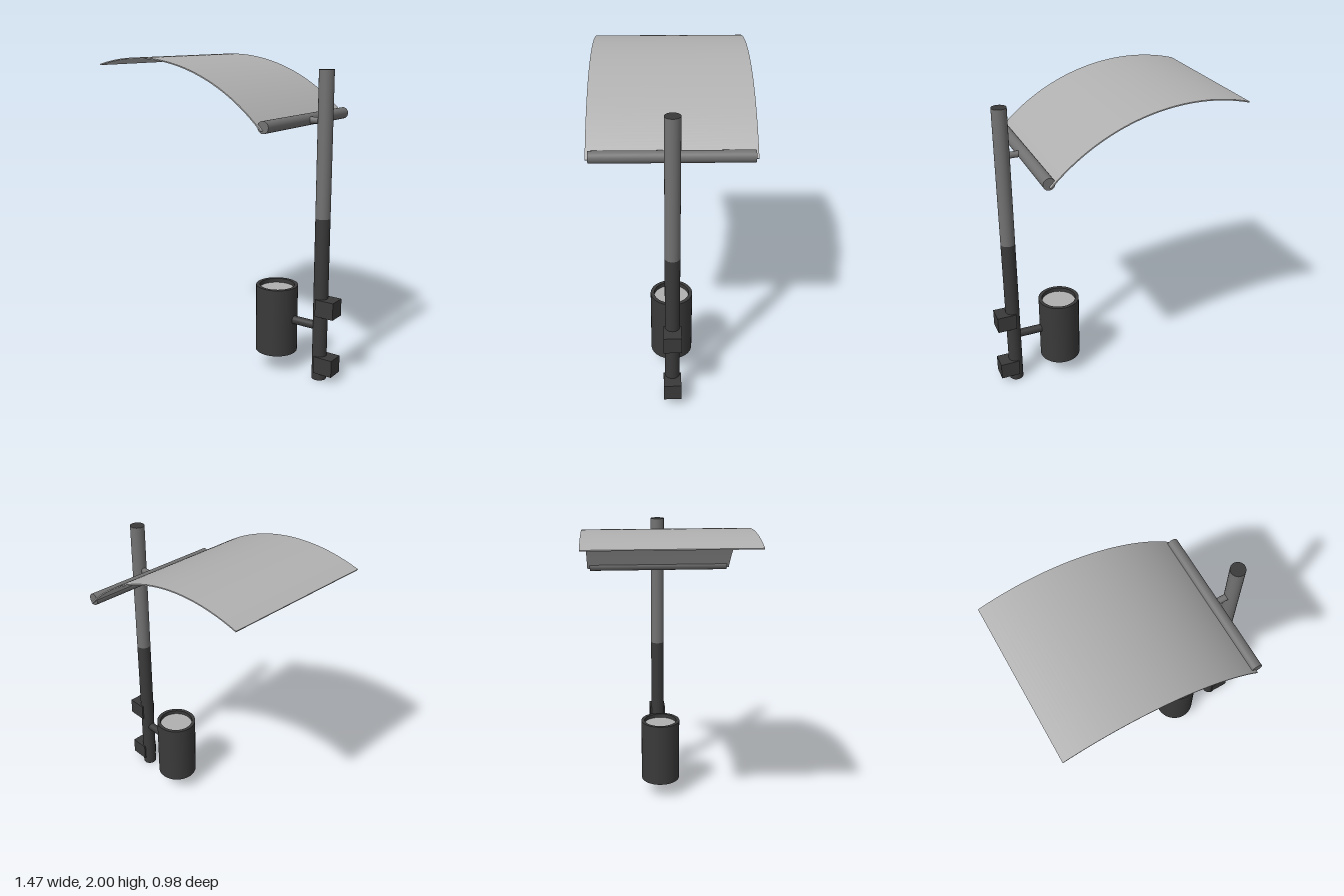
import * as THREE from 'three';

const mat = (name, color, side = THREE.FrontSide) => {
  const m = new THREE.MeshStandardMaterial({ color, side });
  m.name = name;
  return m;
};

export function createModel() {
  const group = new THREE.Group();
  const dark = mat('charcoal', 0x3a3a3a);
  const grey = mat('mid grey', 0x727272);
  const light = mat('light grey', 0xb0b0b0);

  const add = (name, geometry, material, x, y, z = 0) => {
    const mesh = new THREE.Mesh(geometry, material);
    mesh.name = name;
    mesh.position.set(x, y, z);
    group.add(mesh);
    return mesh;
  };
  const rod = (r, length) => new THREE.CylinderGeometry(r, r, length, 24);

  // Pole: dark lower half, grey upper half with a dark top cap
  const poleX = 0.615, poleR = 0.046, split = 1.05, top = 1.94;
  add('lowerPole', rod(poleR, split), dark, poleX, split / 2);
  add('upperPole', rod(poleR, top - split), [grey, dark, grey], poleX, (top + split) / 2);

  // Wall brackets
  for (const y of [0.105, 0.485]) {
    add('wallBracket', new THREE.BoxGeometry(0.125, 0.11, 0.11), dark, 0.6675, y);
  }

  // Lamp can with a recessed lens, turned from one profile
  const can = [[0, 0], [0.135, 0], [0.135, 0], [0.135, 0.445], [0.135, 0.445],
    [0.112, 0.445], [0.112, 0.445], [0.112, 0.41], [0.112, 0.41], [0, 0.41]]
    .map(([r, y]) => new THREE.Vector2(r, y));
  add('lampCan', new THREE.LatheGeometry(can, 32), dark, 0.292, 0.12);
  add('lampLens', new THREE.CylinderGeometry(0.111, 0.111, 0.008, 32), light, 0.292, 0.535);
  add('lampArm', rod(0.027, 0.2), dark, 0.5, 0.35).rotation.z = Math.PI / 2;

  // Hinge rod across the reflector edge, joined to the pole by a stub
  add('hingeRod', rod(0.036, 0.94), grey, 0.484, 1.64).rotation.x = Math.PI / 2;
  add('hingeStub', rod(0.02, 0.12), grey, 0.545, 1.64).rotation.z = Math.PI / 2;

  // Curved reflector: a thin arc swept along z
  const R = 1.225, thickness = 0.007, cx = -0.4, cy = 2 - R, width = 0.975;
  const start = Math.acos((0.484 - cx) / R);
  const end = Math.acos((-0.735 - cx) / R);
  const arc = new THREE.Shape();
  arc.absarc(cx, cy, R, start, end, false);
  arc.absarc(cx, cy, R - thickness, end, start, true);
  arc.closePath();
  const sheet = new THREE.ExtrudeGeometry(arc, { depth: width, bevelEnabled: false, curveSegments: 32 });
  // Smooth normals on the curved faces, pointing along the radius
  const p = sheet.attributes.position, n = sheet.attributes.normal;
  for (let i = 0; i < p.count; i++) {
    const dx = p.getX(i) - cx, dy = p.getY(i) - cy, d = Math.hypot(dx, dy);
    const dot = (n.getX(i) * dx + n.getY(i) * dy) / d;
    if (Math.abs(dot) > 0.9) n.setXYZ(i, Math.sign(dot) * dx / d, Math.sign(dot) * dy / d, 0);
  }
  add('reflector', sheet, light, 0, 0, -width / 2);

  return group;
}
